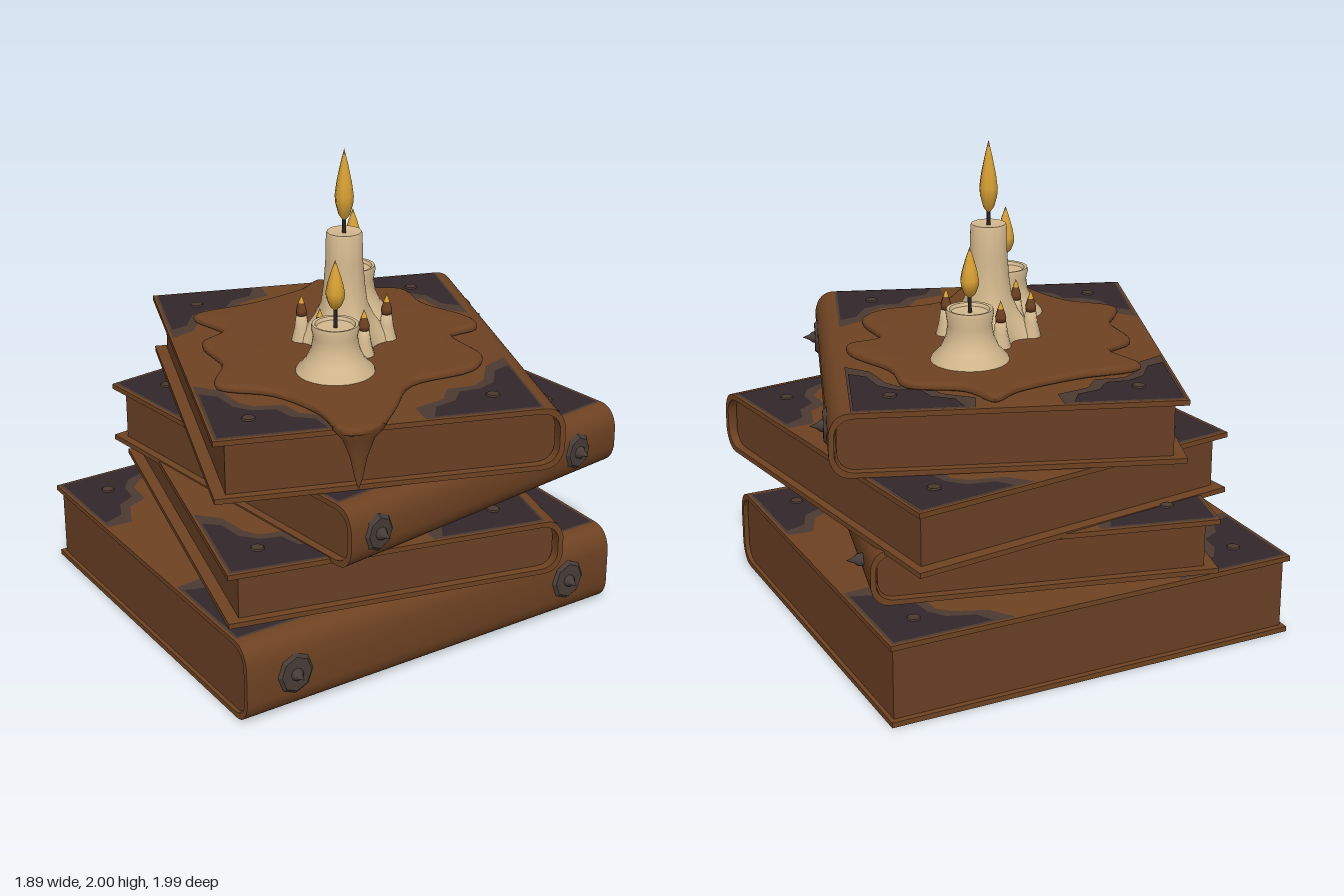
import * as THREE from 'three';
import { mergeVertices, toCreasedNormals } from 'three/addons/utils/BufferGeometryUtils.js';

const mat = (name, color, side = THREE.FrontSide) => {
  const m = new THREE.MeshStandardMaterial({ color, side });
  m.name = name;
  return m;
};

export function createModel() {
  const leather = mat('brown leather', 0x6e4222);
  const paper = mat('brown paper', 0x693f24);
  const dark = mat('dark corner', 0x32262a, THREE.DoubleSide);
  const worn = mat('worn corner edge', 0x4b3a30, THREE.DoubleSide);
  const metal = mat('dull metal', 0x483c38);
  const wax = mat('candle wax', 0xd3b88e);
  const flame = mat('flame', 0xd9a133);
  const wick = mat('wick', 0x2c2422);
  const base = mat('base leather', 0x33291f, THREE.DoubleSide);

  const root = new THREE.Group();
  const add = (parent, name, geo, material, x = 0, y = 0, z = 0) => {
    const m = new THREE.Mesh(geo, material);
    m.name = name;
    m.position.set(x, y, z);
    parent.add(m);
    return m;
  };
  const v2 = (pts) => pts.map(([x, y]) => new THREE.Vector2(x, y));
  const lathe = (pts, sides) => new THREE.LatheGeometry(v2(pts), sides);

  // Extrudes a (z, y) profile along x, centred
  const along = (shape, length) => {
    const g = new THREE.ExtrudeGeometry(shape, { depth: length, bevelEnabled: false, curveSegments: 8 });
    g.translate(0, 0, -length / 2).rotateY(-Math.PI / 2);
    return toCreasedNormals(g, 0.6);
  };

  // Irregular worn corner plate, measured from the corner of a cover
  const cornerPts = [[0.02, 0.02], [0.44, 0.02], [0.4, 0.09], [0.29, 0.13], [0.24, 0.2],
    [0.23, 0.29], [0.15, 0.33], [0.11, 0.42], [0.02, 0.45]];
  const wornPts = [[0.01, 0.01], [0.53, 0.01], [0.46, 0.11], [0.33, 0.16], [0.28, 0.21],
    [0.27, 0.33], [0.18, 0.37], [0.12, 0.5], [0.01, 0.49]];

  // Book with its spine facing local +z
  function book(name, { w, d, y, h, x, z, turn, studs, studR, inset }) {
    const g = new THREE.Group();
    g.name = name;
    g.position.set(x, y, z);
    g.rotation.y = turn;
    root.add(g);
    const t = 0.022, r = Math.min(0.09, h * 0.33), s = d / 2, q = s - t;

    // C-shaped cover wrapping round the spine
    const c = new THREE.Shape();
    c.moveTo(-s, 0);
    c.lineTo(s - r, 0);
    c.quadraticCurveTo(s - 0.015, 0, s, r);
    c.lineTo(s, h - r);
    c.quadraticCurveTo(s - 0.015, h, s - r, h);
    c.lineTo(-s, h);
    c.lineTo(-s, h - t);
    c.lineTo(q - r, h - t);
    c.quadraticCurveTo(q - 0.015, h - t, q, h - r);
    c.lineTo(q, r);
    c.quadraticCurveTo(q - 0.015, t, q - r, t);
    c.lineTo(-s, t);
    add(g, 'cover', along(c, w), leather);

    // Page block with a rounded spine end
    const p = new THREE.Shape(), e = q - 0.01, k = t - 0.002;
    p.moveTo(-s + inset, k);
    p.lineTo(e - r, k);
    p.quadraticCurveTo(e - 0.01, k, e, r);
    p.lineTo(e, h - r);
    p.quadraticCurveTo(e - 0.01, h - k, e - r, h - k);
    p.lineTo(-s + inset, h - k);
    add(g, 'pages', along(p, w - inset * 1.4), paper);

    // Worn corners on the top cover, each with a small rivet
    for (const sx of [-1, 1]) for (const sz of [-1, 1]) {
      const edge = sz > 0 ? s - r * 0.9 : s;
      [[wornPts, worn, 0.002], [cornerPts, dark, 0.004]].forEach(([pts, m, lift]) => {
        const shape = new THREE.Shape(v2(pts.map(([a, b]) => [sx * (w / 2 - a), -sz * (edge - b)])));
        add(g, 'cornerPatch', new THREE.ShapeGeometry(shape).rotateX(-Math.PI / 2), m, 0, h + lift, 0);
      });
      add(g, 'cornerRivet', new THREE.CylinderGeometry(0.025, 0.03, 0.008, 10), worn,
        sx * (w / 2 - 0.17), h + 0.006, sz * (edge - 0.17));
    }

    // Spiked studs on the spine
    for (const sx of studs) {
      const stud = new THREE.Group();
      stud.name = 'spineStud';
      stud.position.set(sx, h / 2, s - 0.004);
      stud.rotation.x = Math.PI / 2;
      g.add(stud);
      if (studR) {
        const plate = new THREE.CylinderGeometry(studR * 0.8, studR, 0.016, 8);
        add(stud, 'studPlate', toCreasedNormals(plate, 0.5), metal, 0, 0.008, 0).scale.z = 1.12;
      }
      add(stud, 'studSpike', lathe([[0.03, 0], [0.026, 0.025], [0.013, 0.04], [0, 0.07]], 8), metal);
    }
    return g;
  }

  const bottom = book('bottomBook', { w: 1.8, d: 1.68, y: 0, h: 0.347, x: -0.02, z: -0.08, turn: 0,
    studs: [-0.68, 0.68], studR: 0.085, inset: 0.025 });
  book('secondBook', { w: 1.67, d: 1.41, y: 0.38, h: 0.235, x: -0.04, z: -0.005, turn: 1.33,
    studs: [-0.65, 0.645], studR: 0, inset: 0.05 });
  book('thirdBook', { w: 1.48, d: 1.6, y: 0.6, h: 0.265, x: 0.125, z: -0.03, turn: 0.13,
    studs: [-0.6, 0.51], studR: 0.073, inset: 0.05 });
  book('topBook', { w: 1.58, d: 1.4, y: 0.87, h: 0.265, x: 0.011, z: 0.026, turn: 1.226,
    studs: [-0.54, 0.56], studR: 0.073, inset: 0.05 });

  // Dark frame with a round opening under the stack
  const under = new THREE.Shape(v2([[-0.84, -0.7], [0.84, -0.7], [0.84, 0.78], [-0.84, 0.78]]));
  under.holes.push(new THREE.Path().absarc(0, 0.04, 0.62, 0, Math.PI * 2, true));
  add(bottom, 'basePanel', new THREE.ShapeGeometry(under, 32).rotateX(Math.PI / 2), base, 0, -0.001, 0);

  // Spilled pool on the top book
  const outline = [[-0.38, -0.58], [-0.1, -0.57], [0.18, -0.6], [0.315, -0.66], [0.37, -0.5], [0.56, -0.36],
    [0.54, -0.16], [0.61, 0.09], [0.58, 0.18], [0.43, 0.2], [0.4, 0.46], [0.29, 0.54], [0.0, 0.53],
    [-0.19, 0.69], [-0.36, 0.81], [-0.48, 0.77], [-0.46, 0.55], [-0.52, 0.31], [-0.67, 0.13],
    [-0.54, -0.05], [-0.5, -0.29], [-0.36, -0.36]];
  const curve = new THREE.CatmullRomCurve3(outline.map(([x, z]) => new THREE.Vector3(x, z, 0)), true);
  const pool = new THREE.Shape(curve.getPoints(110).slice(0, -1).map((p) => new THREE.Vector2(p.x, p.y)));
  const poolGeo = new THREE.ExtrudeGeometry(pool, { depth: 0.008, bevelSize: 0.025, bevelOffset: -0.025,
    bevelThickness: 0.014, bevelSegments: 3 });
  add(root, 'pool', toCreasedNormals(poolGeo.rotateX(Math.PI / 2), 0.8), leather, 0, 1.157, 0);

  // Drip hanging over the front edge
  const drip = add(root, 'drip',
    lathe([[0, -0.26], [0.014, -0.22], [0.035, -0.12], [0.065, -0.04], [0.105, 0.005], [0.09, 0.02], [0, 0.025]], 16),
    leather, -0.4, 1.147, 0.75);
  drip.scale.z = 0.55;
  drip.rotation.y = -0.345;

  // Wick and flame
  function light(parent, y, size, bottomY) {
    add(parent, 'wick', new THREE.CylinderGeometry(0.008, 0.008, y + 0.03 - bottomY, 6), wick, 0, (y + 0.03 + bottomY) / 2, 0);
    const f = lathe([[0, 0], [0.6, 0.1], [0.93, 0.25], [1, 0.36], [0.8, 0.55], [0.42, 0.78], [0, 1]], 8);
    f.scale(0.04, size, 0.04);
    add(parent, 'flame', f, flame, 0, y, 0);
  }

  // Two short candles
  for (const [x, z, top] of [[0.215, -0.23, 1.385], [-0.2, 0.275, 1.372]]) {
    const g = new THREE.Group();
    g.name = 'shortCandle';
    g.position.set(x, 0, z);
    root.add(g);
    const pts = [[0.165, 1.16], [0.158, 1.18], [0.12, 1.22], [0.098, 1.27], [0.09, 1.32], [0.098, top - 0.015],
      [0.094, top], [0.082, top - 0.002], [0.075, top - 0.015], [0, top - 0.018]];
    add(g, 'wax', toCreasedNormals(lathe(pts, 28), 0.9), wax);
    light(g, 1.425, 0.215, top - 0.02);
  }

  // Tall candle with a base melted into five lobes
  const tall = new THREE.Group();
  tall.name = 'tallCandle';
  tall.position.set(0.005, 0, 0.025);
  root.add(tall);
  const lobes = [26, 96, 157, 215, 280].map((a) => a * Math.PI / 180);
  let body = lathe([[0.145, 1.16], [0.14, 1.19], [0.128, 1.23], [0.112, 1.28], [0.097, 1.34], [0.086, 1.42],
    [0.078, 1.52], [0.075, 1.64], [0.071, 1.65], [0.055, 1.648], [0, 1.642]], 60);
  const pos = body.attributes.position;
  for (let i = 0; i < pos.count; i++) {
    const x = pos.getX(i), y = pos.getY(i), z = pos.getZ(i), a = Math.atan2(z, x);
    let bulge = 0;
    for (const l of lobes) bulge += Math.exp(-((1 - Math.cos(a - l)) / 0.045));
    const low = Math.pow(Math.max(0, (1.34 - y) / 0.18), 1.3);
    const k = 1 + 0.5 * low * bulge;
    pos.setXYZ(i, x * k, y, z * k);
  }
  body.deleteAttribute('uv');
  body.deleteAttribute('normal');
  body = mergeVertices(body);
  body.computeVertexNormals();
  add(tall, 'wax', toCreasedNormals(body, 0.9), wax);
  light(tall, 1.69, 0.31, 1.63);

  // Small stubs on the lobes, each with a pointed tip
  for (const a of lobes) {
    const g = new THREE.Group();
    g.name = 'lobeStub';
    g.position.set(Math.cos(a) * 0.178, 1.2, Math.sin(a) * 0.178);
    tall.add(g);
    add(g, 'stubWax', lathe([[0.045, -0.03], [0.03, 0.03], [0.024, 0.075], [0, 0.08]], 10), wax);
    add(g, 'stubDrop', lathe([[0, 0.07], [0.022, 0.08], [0.024, 0.1], [0.013, 0.135]], 8), leather);
    add(g, 'stubTip', lathe([[0.013, 0.135], [0, 0.17]], 8), flame);
  }

  return root;
}
